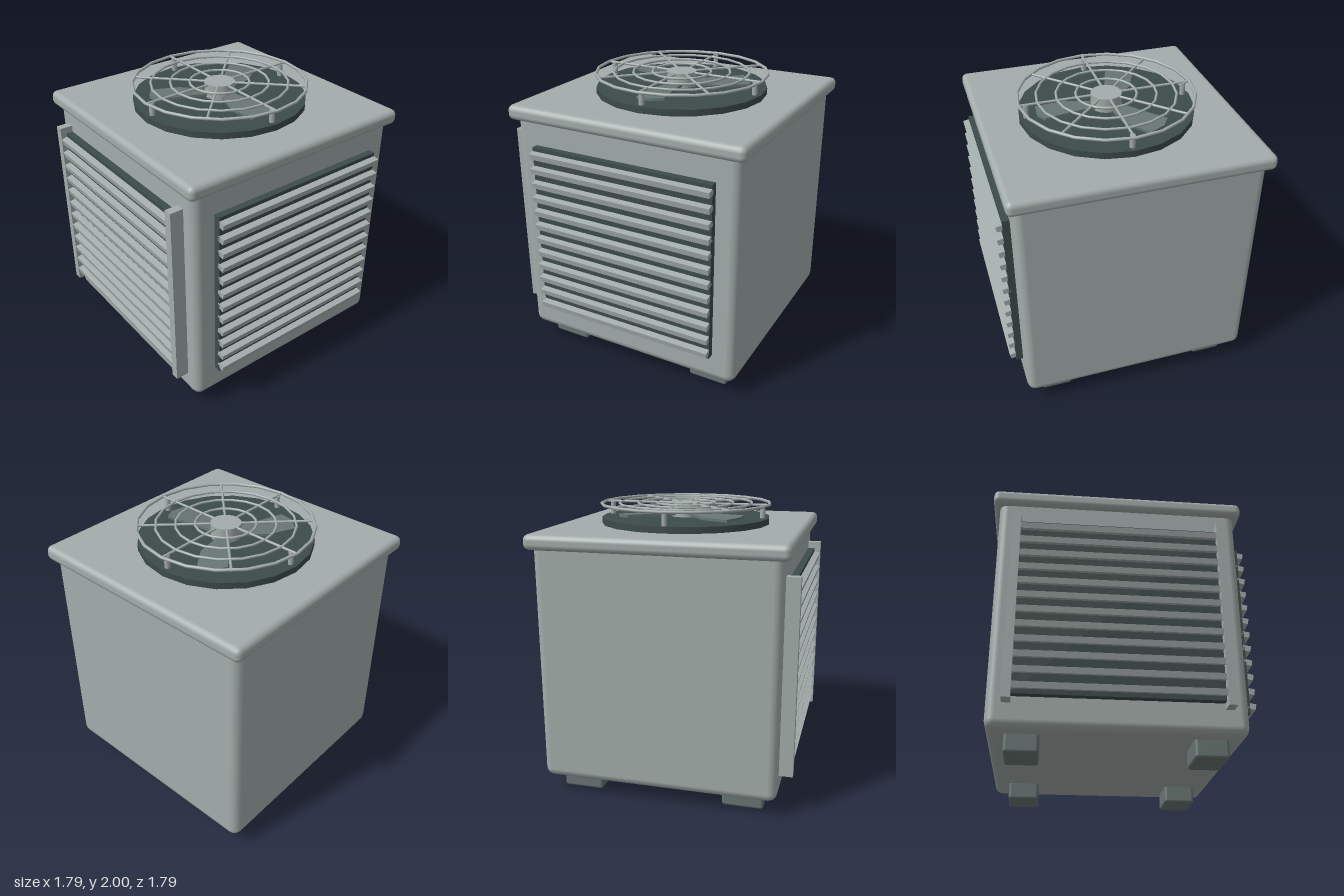
import * as THREE from 'three';
import { RoundedBoxGeometry } from 'three/addons/geometries/RoundedBoxGeometry.js';

const mat = (name, color) => {
  const m = new THREE.MeshStandardMaterial({ color });
  m.name = name;
  return m;
};

export function createModel() {
  const casing = mat('casing grey', 0xa3adab);
  const mid = mat('mid grey', 0x687673);
  const dark = mat('dark grey', 0x3c4b4a);

  const model = new THREE.Group();
  model.name = 'coolingUnit';
  const unit = new THREE.Group();
  unit.name = 'unit';
  unit.position.set(-0.025, 0, -0.024);
  model.add(unit);

  const add = (parent, name, geo, material, x = 0, y = 0, z = 0) => {
    const mesh = new THREE.Mesh(geo, material);
    mesh.name = name;
    mesh.position.set(x, y, z);
    parent.add(mesh);
    return mesh;
  };
  const group = (name, parent = unit) => {
    const g = new THREE.Group();
    g.name = name;
    parent.add(g);
    return g;
  };

  // Casing and lid
  add(unit, 'body', new RoundedBoxGeometry(1.656, 1.7, 1.656, 2, 0.06), casing, 0, 0.97, 0);
  add(unit, 'lid', new RoundedBoxGeometry(1.745, 0.105, 1.745, 2, 0.04), casing, 0, 1.7985, 0);

  // Feet
  const footGeo = new RoundedBoxGeometry(0.222, 0.16, 0.288, 2, 0.02);
  for (const x of [-0.597, 0.597])
    for (const z of [-0.582, 0.582]) add(unit, 'foot', footGeo, mid, x, 0.08, z);

  // Louvred grille facing +z: dark panel with twelve tilted slats
  const grille = (name, length) => {
    const g = group(name);
    add(g, 'grillePanel', new THREE.BoxGeometry(1.342, 1.26, 0.077), dark, 0, 0.956, 0.838);
    const slatGeo = new THREE.BoxGeometry(length, 0.041, 0.055);
    for (let i = 0; i < 12; i++)
      add(g, 'slat', slatGeo, casing, 0, 0.376 + i * 0.1055, 0.889).rotation.x = 0.2;
    return g;
  };
  const front = grille('frontGrille', 1.39);
  for (const x of [-0.699, 0.699])
    add(front, 'grillePost', new THREE.BoxGeometry(0.057, 1.35, 0.112), casing, x, 0.959, 0.865);
  grille('sideGrille', 1.342).rotation.y = Math.PI / 2;

  // Fan housing
  const fan = group('fan');
  add(fan, 'fanBase', new THREE.CylinderGeometry(0.605, 0.605, 0.06, 20), dark, 0, 1.865, 0);
  add(fan, 'hub', new THREE.CylinderGeometry(0.106, 0.106, 0.105, 20), casing, 0, 1.9425, 0);

  // Three swept fan blades
  const outline = [[0.08, 0.05], [0.27, 0.075], [0.45, 0.11], [0.49, 0.03],
    [0.475, -0.09], [0.27, -0.11], [0.08, -0.04]].map(p => new THREE.Vector2(...p));
  const bladeGeo = new THREE.ExtrudeGeometry(new THREE.Shape(outline), { depth: 0.018, bevelEnabled: false });
  bladeGeo.rotateX(-Math.PI / 2);
  bladeGeo.rotateX(0.06);
  for (let i = 0; i < 3; i++)
    add(fan, 'fanBlade', bladeGeo, mid, 0, 1.903, 0).rotation.y = i * Math.PI * 2 / 3;

  // Wire guard: concentric rings, radial spokes and four posts
  const guard = group('fanGuard', fan);
  [[0.605, 0.011], [0.478, 0.009], [0.343, 0.009], [0.208, 0.009]].forEach(([r, t]) => {
    add(guard, 'guardRing', new THREE.TorusGeometry(r, t, 8, 20), casing, 0, 1.989, 0).rotation.x = Math.PI / 2;
  });
  const spokeGeo = new THREE.CylinderGeometry(0.009, 0.009, 0.52, 8);
  spokeGeo.rotateZ(Math.PI / 2);
  spokeGeo.translate(0.345, 0, 0);
  for (let i = 0; i < 8; i++)
    add(guard, 'guardSpoke', spokeGeo, casing, 0, 1.987, 0).rotation.y = i * Math.PI / 4;
  const postGeo = new THREE.CylinderGeometry(0.019, 0.019, 0.1, 10);
  for (let i = 0; i < 4; i++) {
    const a = i * Math.PI / 2;
    add(guard, 'guardPost', postGeo, casing, 0.558 * Math.cos(a), 1.935, 0.558 * Math.sin(a));
  }

  return model;
}
